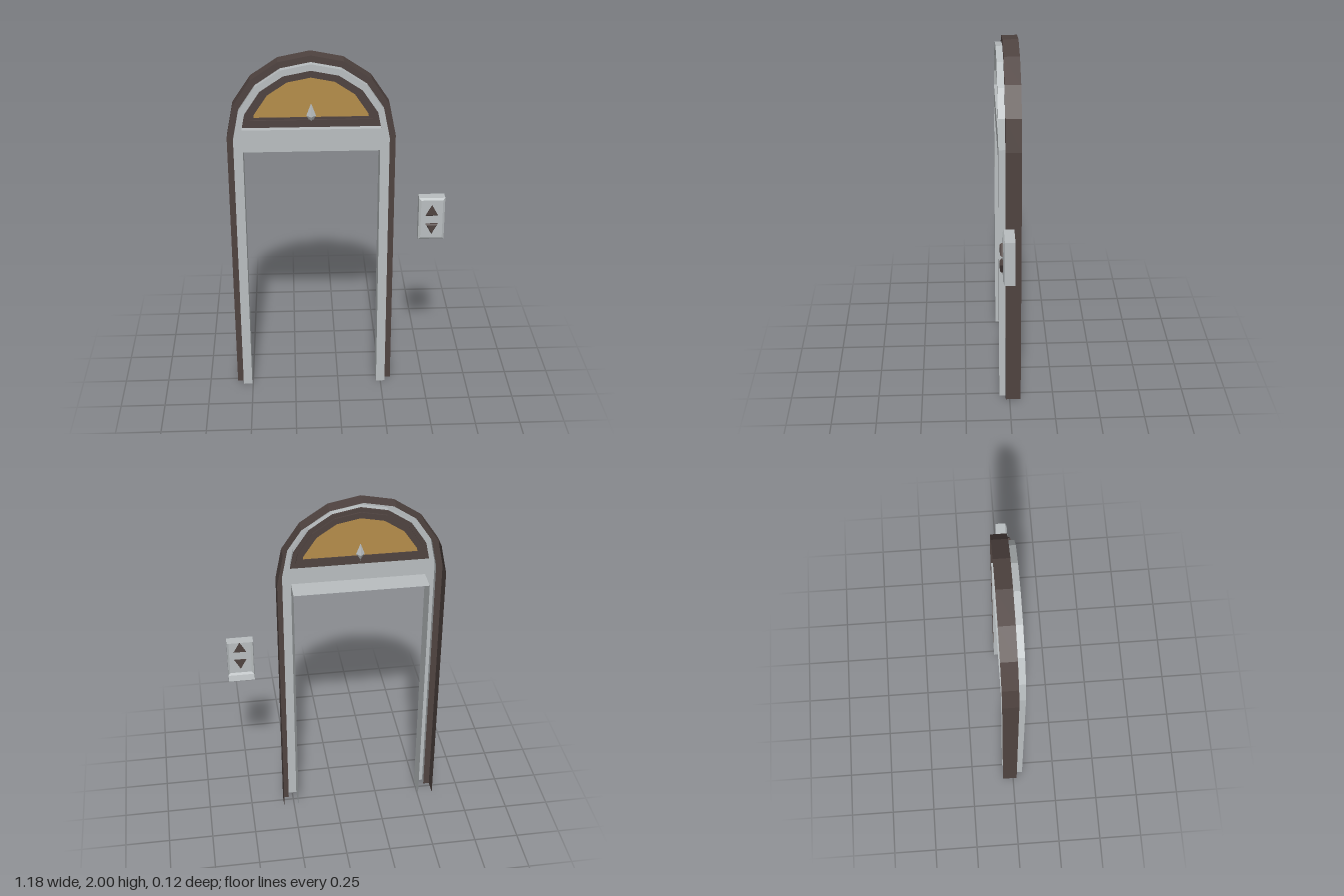
import * as THREE from 'three';

const side = THREE.DoubleSide;
const steel = new THREE.MeshStandardMaterial({ name: 'steel', color: 0xb9bec0, side });
const bronze = new THREE.MeshStandardMaterial({ name: 'darkBronze', color: 0x4f4340, side });
const amber = new THREE.MeshStandardMaterial({ name: 'amberGlass', color: 0xb58d4a, side });

const CX = -0.14, SPRING = 1.55, STEPS = 8;
const BACK = -0.063, MID = 0.022, FRONT = 0.058;

// Arc of the doorway from right to left at radius r
function arc(r) {
  const pts = [];
  for (let i = 0; i <= STEPS; i++) {
    const a = (Math.PI * i) / STEPS;
    pts.push([CX + r * Math.cos(a), SPRING + r * Math.sin(a)]);
  }
  return pts;
}

// Arch with straight legs down to the floor
const arch = (r) => [[CX + r, 0], ...arc(r), [CX - r, 0]];

// Half-round outline cut off flat at height y
function lunette(r, y) {
  const a = Math.PI / STEPS;
  const t = (y - SPRING) / (r * Math.sin(a));
  const half = r * (1 - t * (1 - Math.cos(a)));
  return [[CX + half, y], ...arc(r).slice(1, -1), [CX - half, y]];
}

const rect = (x, y, w, h) => [
  [x - w, y - h], [x + w, y - h], [x + w, y + h], [x - w, y + h],
];

const toVecs = (pts) => pts.map(([x, y]) => new THREE.Vector2(x, y));

function shape(pts, hole) {
  const s = new THREE.Shape(toVecs(pts));
  if (hole) s.holes.push(new THREE.Path(toVecs(hole)));
  return s;
}

function add(parent, name, geometry, material, z = 0) {
  const mesh = new THREE.Mesh(geometry, material);
  mesh.name = name;
  mesh.position.z = z;
  parent.add(mesh);
  return mesh;
}

// Flat-shaded strip joining outline a at depth za to outline b at depth zb
function band(a, za, b, zb, closed = false) {
  const pos = [];
  const n = a.length;
  for (let i = 0; i < (closed ? n : n - 1); i++) {
    const j = (i + 1) % n;
    const A = [...a[i], za], B = [...a[j], za], C = [...b[j], zb], D = [...b[i], zb];
    pos.push(...A, ...B, ...C, ...A, ...C, ...D);
  }
  const g = new THREE.BufferGeometry();
  g.setAttribute('position', new THREE.Float32BufferAttribute(pos, 3));
  g.computeVertexNormals();
  return g;
}

const slab = (pts, hole, depth) =>
  new THREE.ExtrudeGeometry(shape(pts, hole), { depth, bevelEnabled: false });

function group(parent, name) {
  const g = new THREE.Group();
  g.name = name;
  parent.add(g);
  return g;
}

export function createModel() {
  const model = new THREE.Group();
  model.name = 'arched doorway';

  // Dark outer trim, open at the back
  const trim = group(model, 'outerTrim');
  add(trim, 'outerTrimSide', band(arch(0.45), BACK, arch(0.45), MID), bronze);
  add(trim, 'outerTrimFace', band(arch(0.45), MID, arch(0.415), MID), bronze);

  // Raised steel frame with door opening and half-round window
  const frame = group(model, 'doorFrame');
  const opening = [[CX - 0.365, 0], [CX - 0.365, 1.48], [CX + 0.365, 1.48], [CX + 0.365, 0]];
  const window = lunette(0.38, 1.605);
  add(frame, 'frameFace', new THREE.ShapeGeometry(shape([...arch(0.415), ...opening], window)), steel, FRONT);
  add(frame, 'frameStep', band(arch(0.415), MID, arch(0.415), FRONT), steel);
  add(frame, 'doorReveal', band(opening, BACK, opening, FRONT), steel);
  add(frame, 'windowReveal', band(window, MID, window, FRONT, true), steel);

  // Floor indicator: stepped dark surround, amber dial, pointer
  const dial = group(model, 'floorIndicator');
  add(dial, 'dialSurround', slab(lunette(0.382, 1.603), lunette(0.345, 1.645), 0.01), bronze, 0.013);
  add(dial, 'dialRim', slab(lunette(0.36, 1.63), lunette(0.327, 1.657), 0.008), bronze, 0.005);
  add(dial, 'dialGlass', new THREE.ShapeGeometry(shape(lunette(0.34, 1.65))), amber, 0.009);

  // Pointer: two four-sided points meeting at the widest section
  const pointer = group(dial, 'pointer');
  for (const [name, y, h, flip] of [['pointerTip', 1.665, 0.07, 1], ['pointerTail', 1.665, 0.045, -1]]) {
    const cone = new THREE.ConeGeometry(0.026, h, 4, 1, true).toNonIndexed();
    cone.computeVertexNormals();
    const mesh = add(pointer, name, cone, steel, 0.012);
    mesh.position.set(CX, y + (flip * h) / 2, 0.012);
    if (flip < 0) mesh.rotation.x = Math.PI;
  }

  // Call panel: chamfered hollow box, open at the back
  const panel = group(model, 'callPanel');
  const PX = 0.518, PY = 1.055;
  const outer = rect(PX, PY, 0.072, 0.126), inner = rect(PX, PY, 0.06, 0.114);
  add(panel, 'panelSides', band(outer, -0.018, outer, 0.036, true), steel);
  add(panel, 'panelChamfer', band(outer, 0.036, inner, 0.044, true), steel);
  add(panel, 'panelFace', new THREE.ShapeGeometry(shape(inner)), steel, 0.044);

  // Up and down buttons with tapered sides, showing through the panel
  for (const [name, y, dir] of [['upButton', 1.108, 1], ['downButton', 1.002, -1]]) {
    const button = group(panel, name);
    const tri = (s) => [
      [PX - 0.034 * s, y - 0.028 * s * dir],
      [PX + 0.034 * s, y - 0.028 * s * dir],
      [PX, y + 0.034 * s * dir],
    ];
    add(button, name + 'Sides', band(tri(1), 0.04, tri(1), 0.052, true), bronze);
    add(button, name + 'Taper', band(tri(1), 0.052, tri(0.75), 0.06, true), bronze);
    add(button, name + 'Face', new THREE.ShapeGeometry(shape(tri(0.75))), bronze, 0.06);
    add(button, name + 'Back', new THREE.ShapeGeometry(shape(tri(1))), bronze, 0.04);
  }

  return model;
}
